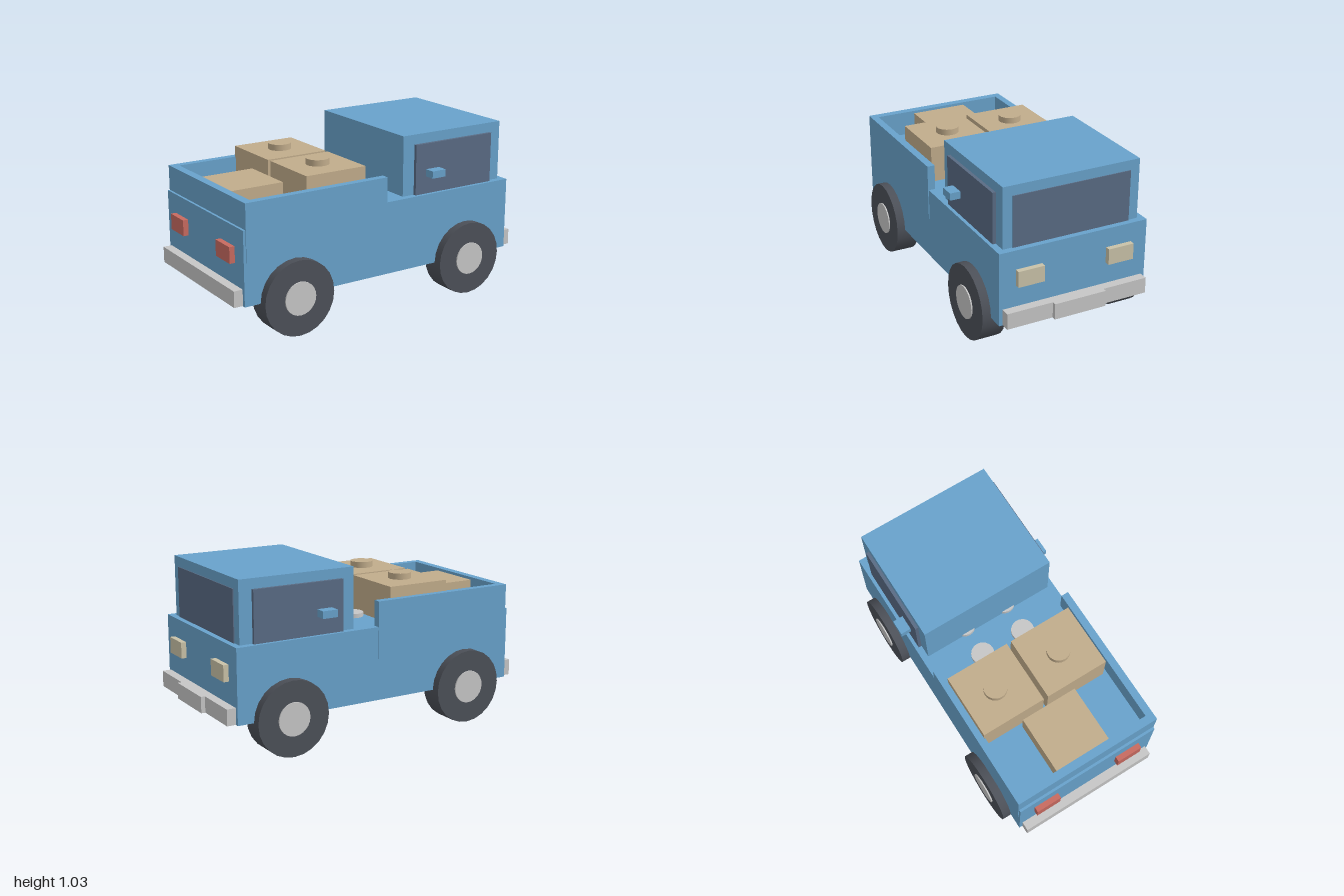
import * as THREE from 'three';

const mat = (name, color) => {
  const m = new THREE.MeshStandardMaterial({ color });
  m.name = name;
  return m;
};

export function createModel() {
  const truck = new THREE.Group();
  truck.name = 'pickupTruck';

  const blue = mat('blue paint', 0x68a2cb);
  const glass = mat('dark glass', 0x596b84);
  const rubber = mat('tyre rubber', 0x4c5058);
  const grey = mat('light grey', 0xc6c6c6);
  const cream = mat('headlight cream', 0xc9c2a8);
  const red = mat('tail light red', 0xc76a60);
  const tan = mat('crate tan', 0xc1ac8b);

  const add = (name, geometry, material, x, y, z) => {
    const mesh = new THREE.Mesh(geometry, material);
    mesh.name = name;
    mesh.position.set(x, y, z);
    truck.add(mesh);
    return mesh;
  };
  // Box given by its [min, max] extent on each axis
  const box = (name, material, [x0, x1], [y0, y1], [z0, z1]) =>
    add(name, new THREE.BoxGeometry(x1 - x0, y1 - y0, z1 - z0), material,
      (x0 + x1) / 2, (y0 + y1) / 2, (z0 + z1) / 2);
  // The same box on both sides of the truck
  const pair = (name, material, xs, ys, [z0, z1]) => {
    box('left' + name, material, xs, ys, [-z1, -z0]);
    box('right' + name, material, xs, ys, [z0, z1]);
  };
  const stud = (name, material, x, y0, y1, z) =>
    add(name, new THREE.CylinderGeometry(0.07, 0.07, y1 - y0, 24), material, x, (y0 + y1) / 2, z);

  // Body and cab
  box('body', blue, [-0.945, 0.92], [0.227, 0.67], [-0.467, 0.467]);
  box('cab', blue, [0.15, 0.88], [0.66, 1.036], [-0.426, 0.426]);
  box('windshield', glass, [0.86, 0.886], [0.67, 0.976], [-0.367, 0.367]);
  pair('SideWindow', glass, [0.23, 0.8], [0.67, 0.976], [0.41, 0.446]);
  pair('Mirror', blue, [0.305, 0.4], [0.776, 0.82], [0.44, 0.51]);

  // Cargo bed walls, overlapping the body sides
  pair('BedWall', blue, [-0.93, 0.005], [0.48, 0.823], [0.426, 0.472]);
  box('tailgate', blue, [-0.93, -0.88], [0.66, 0.823], [-0.426, 0.426]);

  // Bumpers and lights
  box('frontBumper', grey, [0.9, 0.975], [0.229, 0.326], [-0.446, 0.446]);
  box('bumperCentre', grey, [0.95, 1], [0.229, 0.326], [-0.163, 0.163]);
  box('rearBumper', grey, [-1, -0.93], [0.229, 0.326], [-0.446, 0.446]);
  pair('Headlight', cream, [0.91, 0.952], [0.457, 0.554], [0.204, 0.366]);
  pair('TailLight', red, [-0.978, -0.93], [0.457, 0.554], [0.204, 0.366]);

  // Crates, two of them with a round lid
  box('crateBack', tan, [-0.5, -0.1], [0.67, 0.89], [-0.432, -0.028]);
  box('crateFront', tan, [-0.5, -0.1], [0.67, 0.89], [0, 0.4]);
  box('crateRear', tan, [-0.883, -0.52], [0.67, 0.806], [-0.183, 0.175]);
  stud('lidBack', tan, -0.3, 0.88, 0.927, -0.232);
  stud('lidFront', tan, -0.3, 0.88, 0.927, 0.2);

  // Round pegs on the deck between bed and cab
  for (const z of [-0.143, 0.14]) {
    stud('deckPeg', grey, -0.015, 0.66, 0.695, z);
    stud('deckPeg', grey, 0.204, 0.66, 0.695, z);
  }

  // Wheels with hubs showing on both faces
  const tyre = new THREE.CylinderGeometry(0.226, 0.226, 0.144, 24).rotateX(Math.PI / 2);
  const hub = new THREE.CylinderGeometry(0.1, 0.1, 0.16, 24).rotateX(Math.PI / 2);
  for (const x of [-0.62, 0.595]) {
    for (const side of [-1, 1]) {
      add('tyre', tyre, rubber, x, 0.227, side * 0.447);
      add('hub', hub, grey, x, 0.227, side * 0.447);
    }
  }
  return truck;
}
